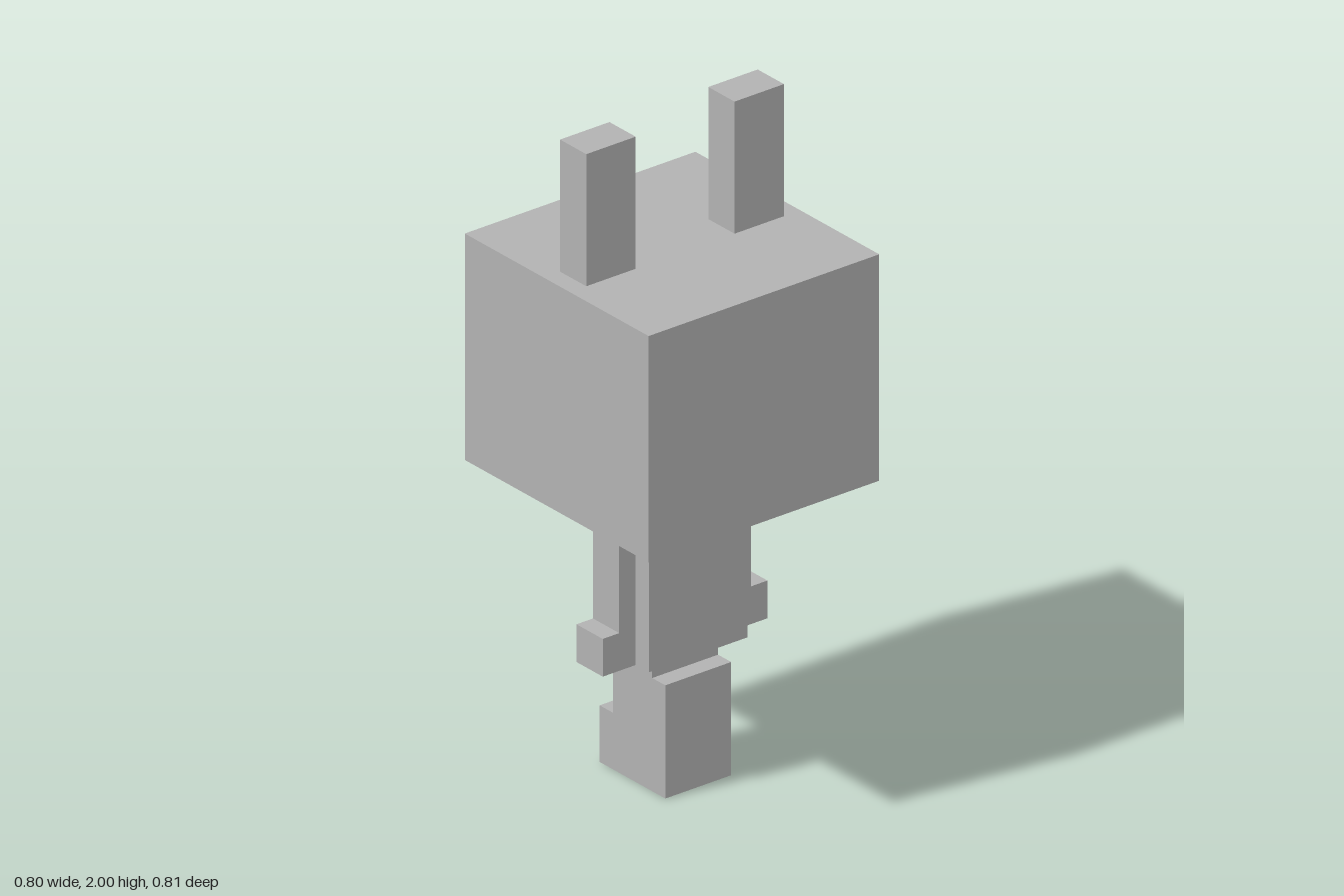
import * as THREE from 'three';

export function createModel() {
  const model = new THREE.Group();
  model.name = 'blockFigure';
  const grey = new THREE.MeshStandardMaterial({ color: 0xb2b2b2 });
  grey.name = 'grey';

  const U = 2 / 35;   // one block unit
  const Z0 = 0.004;   // offset that centres the depth

  // Box from its min and max corners, in block units
  function block(name, [x0, x1], [y0, y1], [z0, z1]) {
    const geo = new THREE.BoxGeometry((x1 - x0) * U, (y1 - y0) * U, (z1 - z0) * U);
    const mesh = new THREE.Mesh(geo, grey);
    mesh.name = name;
    mesh.position.set((x0 + x1) / 2 * U, (y0 + y1) / 2 * U, (z0 + z1) / 2 * U + Z0);
    model.add(mesh);
  }

  // Legs, toes and waist
  block('legs', [-2, 2], [0, 6], [-2, 2]);
  block('toes', [-2, 2], [0, 3], [-3, -2]);
  block('waist', [-2, 2], [6, 7], [-1, 1]);

  // Torso with chest plate, neck and head
  block('torso', [-3, 3], [7, 15], [-2, 2]);
  block('chestPlate', [-2, 2], [10, 14], [-3, -2]);
  block('neck', [-1, 1], [15, 16], [-1, 1]);
  block('head', [-7, 7], [16, 28], [-7, 7]);

  // Paired parts
  for (const [side, s] of [['left', 1], ['right', -1]]) {
    const span = (a, b) => (s > 0 ? [a, b] : [-b, -a]);
    block(side + 'Arm', span(3, 4), [7, 15], [-1, 1]);
    block(side + 'Hand', span(4, 5), [7, 9], [-1, 1]);
    block(side + 'Ear', span(3, 6), [28, 35], [-1, 1]);
    block(side + 'InnerEar', span(4, 5), [29, 34], [-2, -1]);
  }

  // Thin crooked mouth
  const T = 0.008 / U;
  block('mouth', [-2.5, 2.05], [18.85, 19.85], [-7 - T, -7]);
  block('mouthCorner', [2.05, 2.5], [19.3, 19.85], [-7 - T, -7]);

  return model;
}
